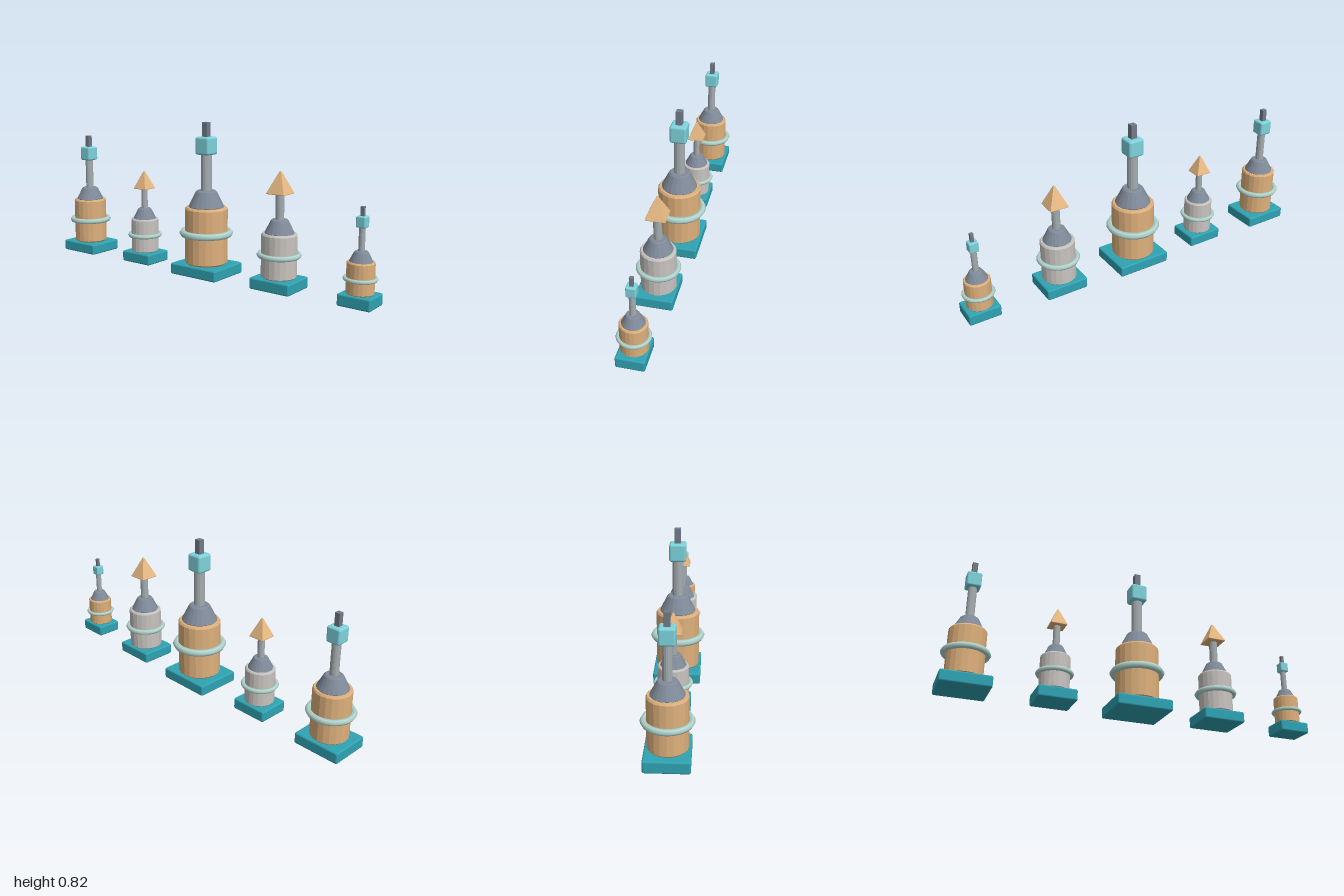
import * as THREE from 'three';
import { RoundedBoxGeometry } from 'three/addons/geometries/RoundedBoxGeometry.js';

const mat = (color, flatShading = false) => new THREE.MeshStandardMaterial({ color, flatShading });
const MATS = {
  base: mat(0x2fa3b3),
  tan: mat(0xdeb07c, true),
  pale: mat(0xc8c4c0, true),
  roof: mat(0x7f8a99, true),
  mast: mat(0xa5adb0, true),
  ring: mat(0xb3d6cf),
  cube: mat(0x7ed3dc),
  spike: mat(0x727b88),
  pyramid: mat(0xe8b982, true),
};

const BASE_H = 0.06;

// Each tower: position, base size, body, roof, mast, ring and finial sizes
const TOWERS = [
  { x: -0.877, w: 0.25, d: 0.21, r: 0.094, body: 0.316, roof: 0.385, mast: 0.022,
    ringY: 0.192, ringR: 0.121, tube: 0.015, cube: [0.55, 0.63, 0.074], spike: [0.695, 0.027] },
  { x: -0.433, w: 0.2, d: 0.17, r: 0.077, body: 0.25, roof: 0.308, mast: 0.018,
    ringY: 0.155, ringR: 0.097, tube: 0.012, pyramid: [0.42, 0.52, 0.044] },
  { x: 0.01, w: 0.297, d: 0.25, r: 0.1145, body: 0.367, roof: 0.455, mast: 0.029,
    ringY: 0.226, ringR: 0.144, tube: 0.0185, cube: [0.645, 0.74, 0.088], spike: [0.816, 0.033] },
  { x: 0.468, w: 0.23, d: 0.195, r: 0.0905, body: 0.287, roof: 0.356, mast: 0.022,
    ringY: 0.176, ringR: 0.113, tube: 0.014, pyramid: [0.484, 0.597, 0.052] },
  { x: 0.912, w: 0.17, d: 0.142, r: 0.067, body: 0.214, roof: 0.263, mast: 0.0155,
    ringY: 0.132, ringR: 0.0825, tube: 0.01, cube: [0.374, 0.428, 0.048], spike: [0.473, 0.018] },
];

function add(group, name, geometry, material, y = 0) {
  const mesh = new THREE.Mesh(geometry, material);
  mesh.name = name;
  mesh.position.y = y;
  group.add(mesh);
  return mesh;
}

// Closed solid of revolution between two heights, with bevelled rims
function turned(r0, r1, y0, y1, bevel, sides, start = 0) {
  const lean = ((r0 - r1) * bevel) / (y1 - y0);
  const profile = [
    [0, y0], [r0 - bevel, y0], [r0 - lean, y0 + bevel],
    [r1 + lean, y1 - bevel], [Math.max(r1 - bevel * 0.7, 0.0005), y1], [0, y1],
  ];
  return new THREE.LatheGeometry(profile.map(([r, y]) => new THREE.Vector2(r, y)), sides, start);
}

function createTower(t) {
  const g = new THREE.Group();
  g.position.x = t.x;

  // Plinth, drum and sloped roof
  add(g, 'base', new RoundedBoxGeometry(t.w, BASE_H, t.d, 2, 0.009), MATS.base, BASE_H / 2);
  add(g, 'body', turned(t.r, t.r, BASE_H - 0.002, t.body, t.r * 0.09, 20), t.cube ? MATS.tan : MATS.pale);
  add(g, 'roof', turned(t.r * 0.86, t.r * 0.46, t.body - 0.004, t.roof, t.r * 0.06, 20), MATS.roof);

  // Collar around the drum
  const ring = add(g, 'ring', new THREE.TorusGeometry(t.ringR - t.tube, t.tube, 6, 40), MATS.ring, t.ringY);
  ring.rotation.x = Math.PI / 2;

  // Mast up to the finial
  const [bottom, top, size] = t.cube || t.pyramid;
  const mastH = bottom + 0.01 - t.roof + 0.01;
  add(g, 'mast', new THREE.CylinderGeometry(t.mast, t.mast, mastH, 14), MATS.mast, t.roof - 0.01 + mastH / 2);

  if (t.cube) {
    // Rounded block with a square spike
    add(g, 'finialBlock', new RoundedBoxGeometry(size, top - bottom, size, 2, size * 0.14), MATS.cube, (bottom + top) / 2);
    const [tip, width] = t.spike;
    const h = tip - top + 0.01;
    add(g, 'spike', new RoundedBoxGeometry(width, h, width, 1, 0.0015), MATS.spike, tip - h / 2);
  } else {
    // Square pyramid, faces square to the base
    const corner = size * Math.SQRT2;
    add(g, 'finialPyramid', turned(corner, corner * 0.06, bottom, top, 0.003, 4, Math.PI / 4), MATS.pyramid);
  }
  return g;
}

export function createModel() {
  const model = new THREE.Group();
  model.name = 'towerRow';
  TOWERS.forEach((t, i) => {
    const tower = createTower(t);
    tower.name = `tower${i + 1}`;
    model.add(tower);
  });
  return model;
}
